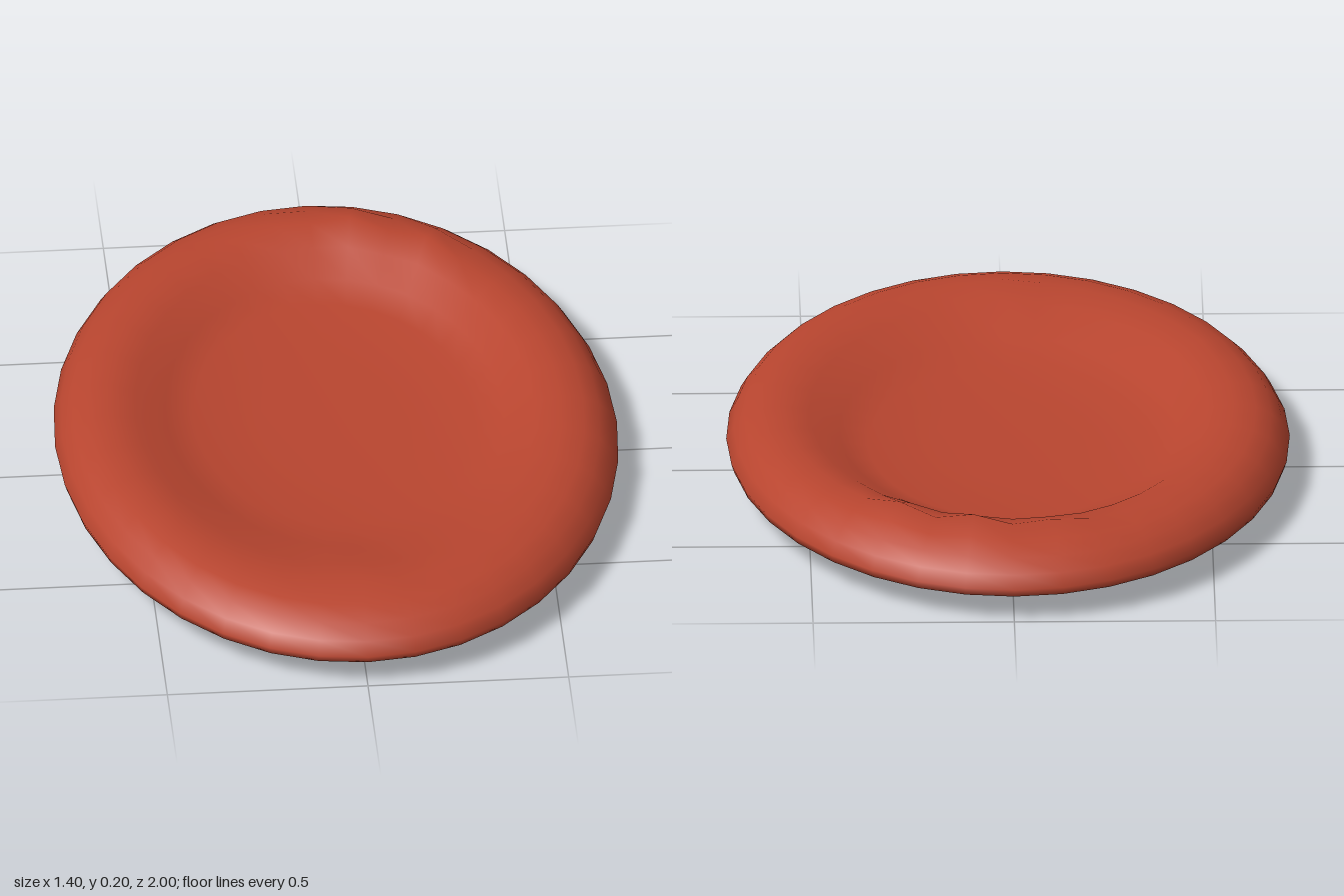
import * as THREE from 'three';
import { mergeVertices } from 'three/addons/utils/BufferGeometryUtils.js';

const HALF_WIDTH = 0.7;

export function createModel() {
  const group = new THREE.Group();
  group.name = 'dishedDisc';
  const red = new THREE.MeshStandardMaterial({ color: 0xb8452f });
  red.name = 'brickRed';

  // Cross-section from the underside centre, round the rim, into the hollow
  const profile = [
    [0, 0], [0.35, 0.014], [0.68, 0.034], [0.92, 0.053], [0.99, 0.064],
    [1, 0.085], [0.975, 0.115], [0.935, 0.144], [0.88, 0.162], [0.8, 0.171],
    [0.72, 0.158], [0.64, 0.122], [0.56, 0.098], [0.3, 0.09], [0, 0.088],
  ].map(([r, y]) => new THREE.Vector2(r, y));
  let disc = new THREE.LatheGeometry(profile, 36);

  // Small raised lumps along the crest: x, z, height
  const lumps = [[0.1, -0.8, 0.032], [0.29, -0.7, 0.028], [-0.1, -0.8, 0.018],
    [0, 0.74, 0.014], [-0.45, 0.42, 0.008]];

  const pos = disc.attributes.position;
  const rows = profile.length;
  for (let i = 0; i < pos.count; i++) {
    const row = i % rows;
    let x = pos.getX(i), y = pos.getY(i), z = pos.getZ(i);
    const r = Math.hypot(x, z);
    const front = r > 0.001 ? (z / r + 1) / 2 : 0;
    // The inner slope is gentler and longer towards the front
    if (row >= 10 && row <= 13) {
      const shrink = 1 - front * [0.04, 0.13, 0.24, 0.25][row - 10];
      x *= shrink;
      z *= shrink;
    }
    x *= HALF_WIDTH;
    if (row >= 8 && row <= 10) {
      for (const [lx, lz, h] of lumps) {
        const d2 = (x - lx) ** 2 + (z - lz) ** 2;
        y += h * Math.exp(-d2 / 0.006);
      }
    }
    pos.setXYZ(i, x, y, z);
  }

  // Weld the seam and poles so the surface shades smoothly all round
  disc.deleteAttribute('uv');
  disc.deleteAttribute('normal');
  disc = mergeVertices(disc, 1e-4);
  disc.computeVertexNormals();

  const mesh = new THREE.Mesh(disc, red);
  mesh.name = 'disc';
  group.add(mesh);
  return group;
}
